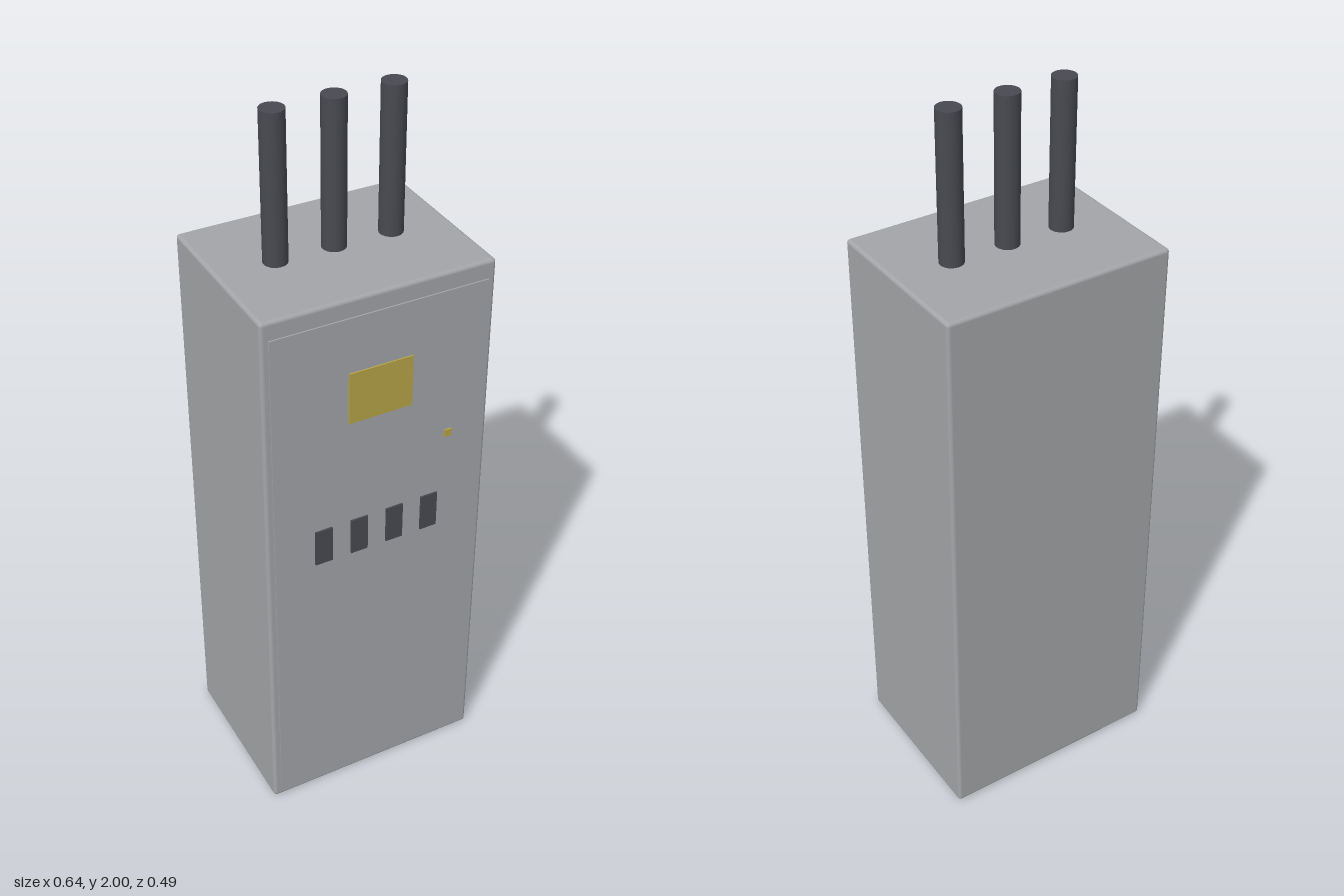
import * as THREE from 'three';
import { RoundedBoxGeometry } from 'three/addons/geometries/RoundedBoxGeometry.js';

const mat = (name, color) => {
  const m = new THREE.MeshStandardMaterial({ color });
  m.name = name;
  return m;
};

export function createModel() {
  const group = new THREE.Group();
  const grey = mat('cabinet grey', 0xa3a5a8);
  const dark = mat('dark grey', 0x484a51);
  const yellow = mat('label yellow', 0xb7a548);

  const add = (name, geometry, material, x, y, z) => {
    const mesh = new THREE.Mesh(geometry, material);
    mesh.name = name;
    mesh.position.set(x, y, z);
    group.add(mesh);
  };
  // thin plate on the front, given by its centre, size and front face
  const plate = (name, material, x, y, w, h, zBack, zFront) =>
    add(name, new THREE.BoxGeometry(w, h, zFront - zBack), material, x, y, (zBack + zFront) / 2);

  // cabinet with softly rounded edges
  add('cabinet', new RoundedBoxGeometry(0.638, 1.6, 0.477, 3, 0.01), grey, 0, 0.8, -0.0045);

  // door and its fittings
  plate('door', grey, 0, 0.8, 0.596, 1.5, 0.232, 0.238);
  plate('warningLabel', yellow, 0, 1.322, 0.178, 0.147, 0.237, 0.242);
  plate('latch', yellow, 0.2, 1.123, 0.022, 0.022, 0.237, 0.242);
  for (let i = 0; i < 4; i++) {
    plate('ventSlot', dark, -0.16 + i * 0.1035, 0.884, 0.049, 0.108, 0.237, 0.243);
  }

  // cables rising from the top
  for (const x of [-0.16, 0, 0.16]) {
    add('cable', new THREE.CylinderGeometry(0.032, 0.032, 0.41, 24), dark, x, 1.795, -0.005);
  }
  return group;
}
